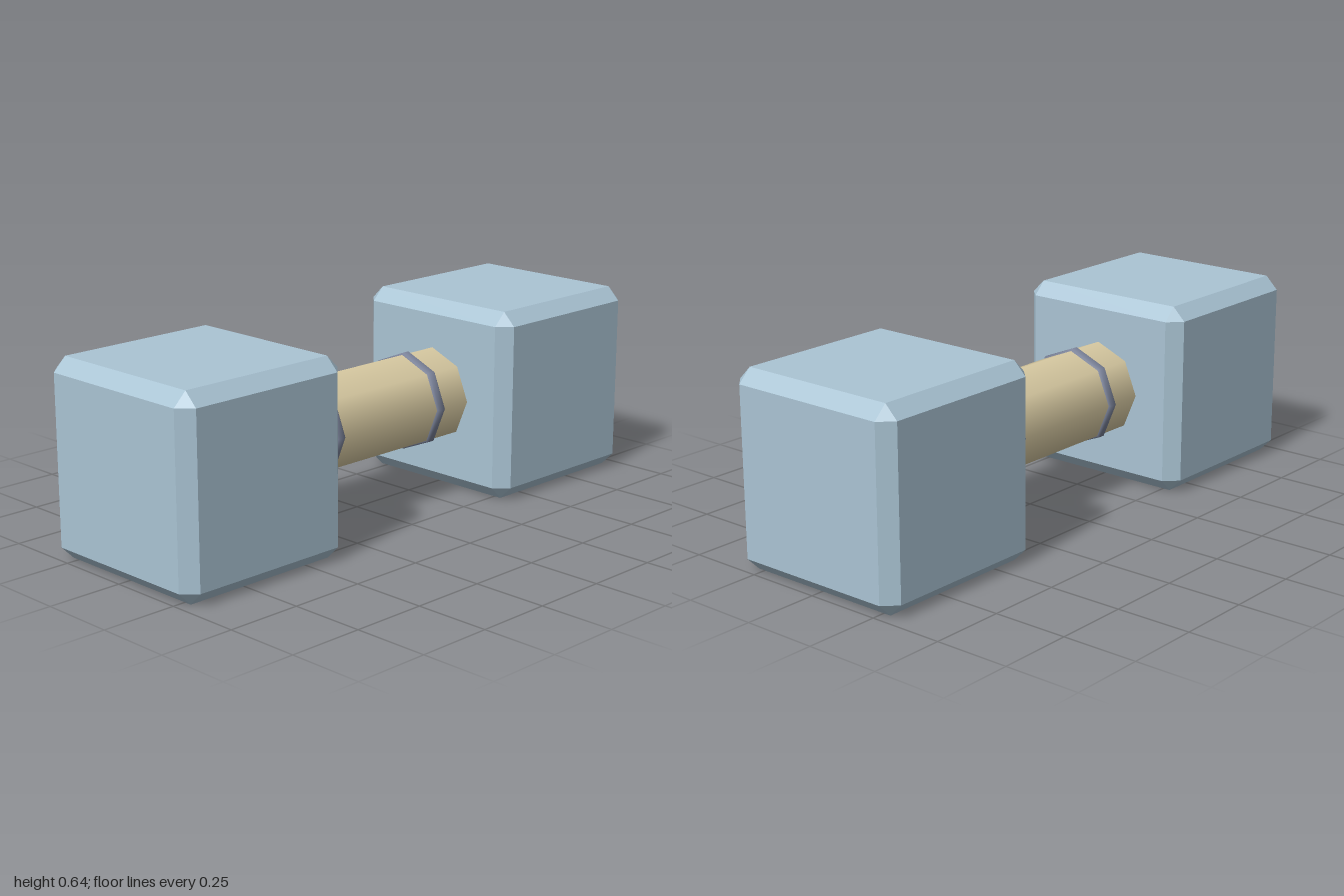
import * as THREE from 'three';
import { ConvexGeometry } from 'three/addons/geometries/ConvexGeometry.js';

const SIDES = 8;
const MID_Y = 0.32;

// Cube with flat bevels on every edge and corner
function bevelledCube(half, bevel) {
  const inner = half - bevel;
  const points = [];
  for (const x of [-1, 1]) for (const y of [-1, 1]) for (const z of [-1, 1]) {
    points.push(
      new THREE.Vector3(x * half, y * inner, z * inner),
      new THREE.Vector3(x * inner, y * half, z * inner),
      new THREE.Vector3(x * inner, y * inner, z * half)
    );
  }
  return new ConvexGeometry(points);
}

export function createModel() {
  const blueGrey = new THREE.MeshStandardMaterial({ color: 0xaac4d4 });
  blueGrey.name = 'paleBlueGrey';
  const tan = new THREE.MeshStandardMaterial({ color: 0xd8caa2 });
  tan.name = 'tan';
  const slate = new THREE.MeshStandardMaterial({ color: 0x7d859c });
  slate.name = 'slate';

  const group = new THREE.Group();
  group.name = 'dumbbell';
  const add = (name, geometry, material, z) => {
    const mesh = new THREE.Mesh(geometry, material);
    mesh.name = name;
    mesh.position.set(0, MID_Y, z);
    group.add(mesh);
  };

  // Eight-sided grip, smoothly shaded
  const grip = new THREE.CylinderGeometry(0.16, 0.16, 0.74, SIDES).rotateX(Math.PI / 2);
  add('handle', grip, tan, 0);

  // Thin bevelled collar that sits proud of the grip
  const profile = [[0.15, -0.0185], [0.16, -0.0185], [0.167, -0.011],
    [0.167, 0.011], [0.16, 0.0185], [0.15, 0.0185]]
    .map(([r, y]) => new THREE.Vector2(r, y));
  const collar = new THREE.LatheGeometry(profile, SIDES).rotateX(Math.PI / 2);
  const weight = bevelledCube(0.32, 0.044);

  // Matching weights and collars at both ends
  for (const [side, name] of [[1, 'front'], [-1, 'back']]) {
    add(name + 'Weight', weight, blueGrey, side * 0.68);
    add(name + 'Collar', collar, slate, side * 0.231);
  }
  return group;
}
